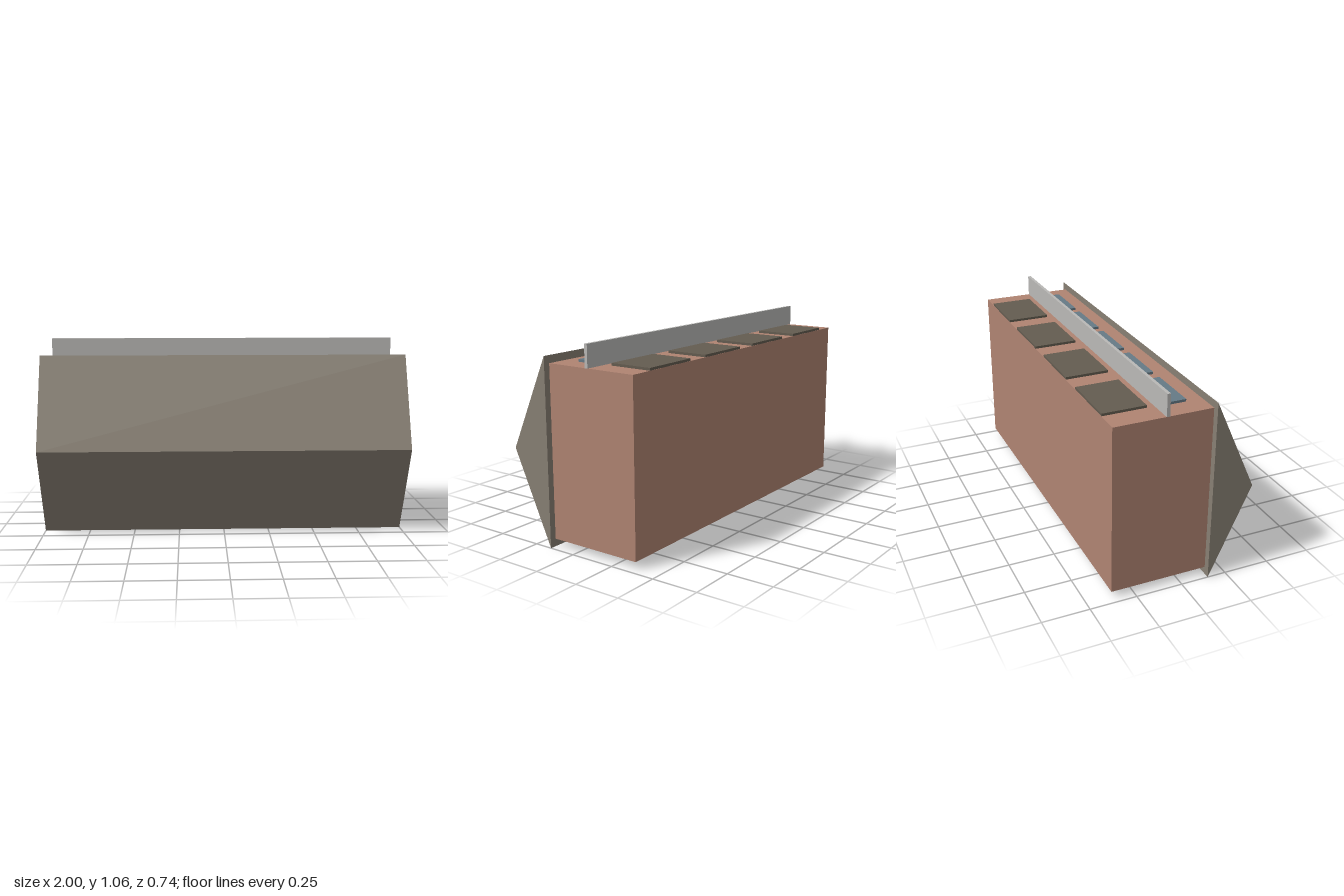
import * as THREE from 'three';

const material = (name, color) => {
  const m = new THREE.MeshStandardMaterial({ color });
  m.name = name;
  return m;
};

export function createModel() {
  const group = new THREE.Group();
  group.name = 'terraceBuilding';
  const brick = material('brick', 0xb08472);
  const roofing = material('roofTile', 0x888074);
  const glass = material('blueGlass', 0x667a86);
  const door = material('darkDoor', 0x645c50);
  const metal = material('lightGrey', 0xbab9b7);

  // Box given by its [min, max] extent on each axis
  const box = (name, mat, [x0, x1], [y0, y1], [z0, z1]) => {
    const mesh = new THREE.Mesh(new THREE.BoxGeometry(x1 - x0, y1 - y0, z1 - z0), mat);
    mesh.position.set((x0 + x1) / 2, (y0 + y1) / 2, (z0 + z1) / 2);
    mesh.name = name;
    group.add(mesh);
  };

  const top = 0.943;
  box('body', brick, [-0.965, 0.965], [0.04, top], [-0.372, 0.149]);

  // Gable roof: triangle in (z, y), extruded along x
  const gable = new THREE.Shape();
  gable.moveTo(-0.149, 0);
  gable.lineTo(-0.149, 0.983);
  gable.lineTo(-0.372, 0.4915);
  gable.closePath();
  const roofGeometry = new THREE.ExtrudeGeometry(gable, { depth: 2, bevelEnabled: false });
  roofGeometry.translate(0, 0, -1);
  roofGeometry.rotateY(Math.PI / 2);
  const roof = new THREE.Mesh(roofGeometry, roofing);
  roof.name = 'gableRoof';
  group.add(roof);

  // Upright ledge along the wall
  box('ledge', metal, [-0.967, 0.967], [top, 1.06], [-0.1, -0.083]);

  // Row of windows
  for (let i = -2; i <= 2; i++) {
    const x = i * 0.355;
    box('window', glass, [x - 0.142, x + 0.142], [top, 0.956], [-0.056, 0.061]);
  }

  // Row of doors
  for (let i = 0; i < 4; i++) {
    const x = (i - 1.5) * 0.452;
    box('door', door, [x - 0.162, x + 0.162], [top, 0.956], [-0.371, -0.14]);
  }
  return group;
}
